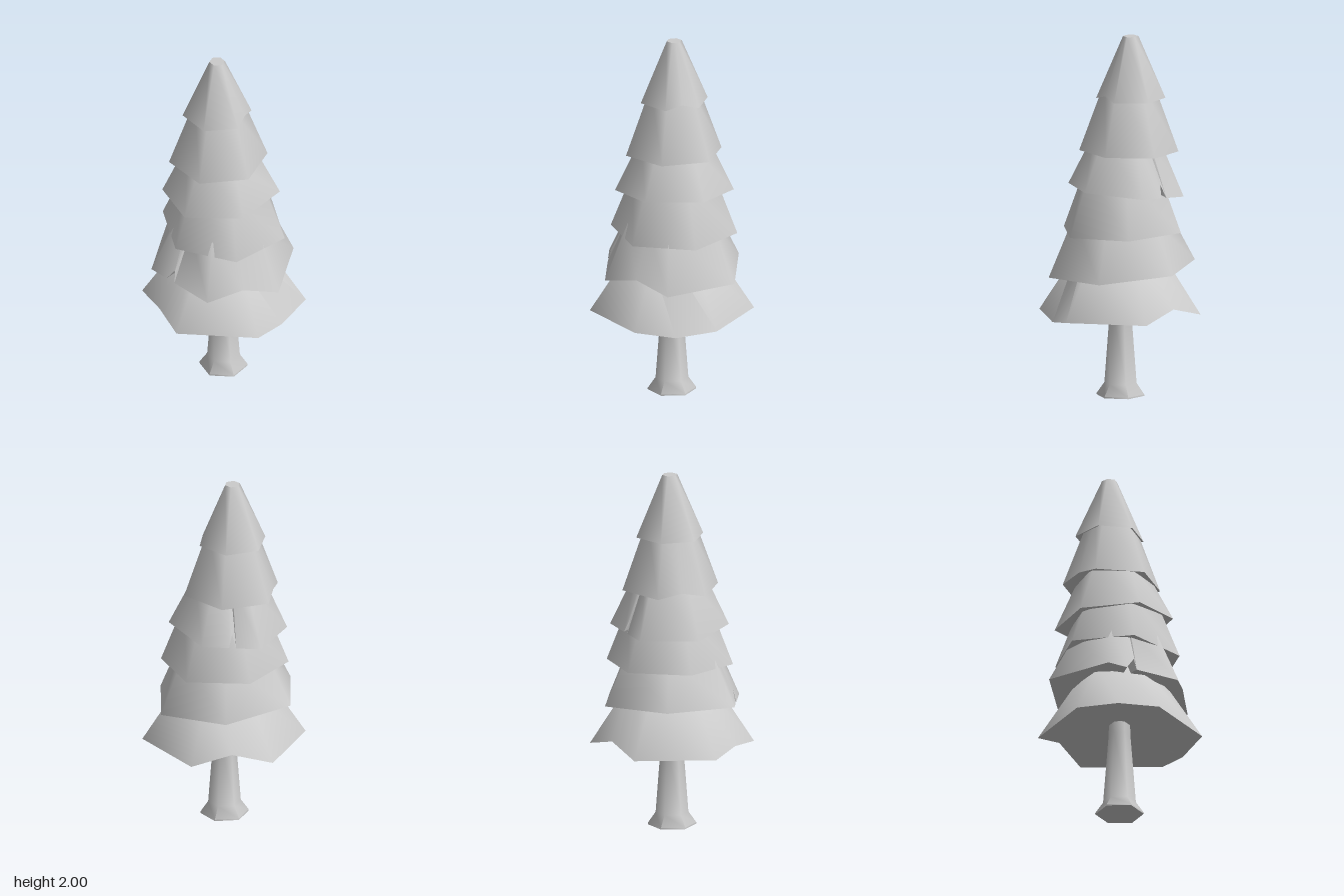
import * as THREE from 'three';
import { toCreasedNormals } from 'three/addons/utils/BufferGeometryUtils.js';

const CREASE = 1.1;
const material = new THREE.MeshStandardMaterial({ color: 0xcccccc });

// Skins a stack of equal-length closed rings; the first and last are single points.
function loft(rings) {
  const n = rings[0].length;
  const index = [];
  for (let i = 0; i < rings.length - 1; i++) {
    for (let j = 0; j < n; j++) {
      const a = i * n + j, b = i * n + ((j + 1) % n);
      const c = b + n, d = a + n;
      if (i > 0) index.push(a, b, d);
      if (i < rings.length - 2) index.push(b, c, d);
    }
  }
  const geometry = new THREE.BufferGeometry();
  geometry.setAttribute('position', new THREE.Float32BufferAttribute(rings.flat(2), 3));
  geometry.setIndex(index);
  return toCreasedNormals(geometry, CREASE);
}

// Six-sided skirt: the hem is a hexagon of radius r turned by `turn` degrees from +z,
// at height y and tilted along x. Each dent is [place along the hem in sides, lift, inward pull].
function makeTier({ name, centre: [cx, cz], r, turn, y, tilt, top, scale, dents }) {
  const corner = (k) => {
    const angle = THREE.MathUtils.degToRad(turn + 60 * k);
    return new THREE.Vector2(r * Math.sin(angle), r * Math.cos(angle));
  };
  const corners = [0, 1, 2, 3, 4, 5].map((k) => [k, 0, 0]);
  const hem = [...corners, ...dents].sort((p, q) => p[0] - q[0]).map(([place, lift, pull]) => {
    const k = Math.floor(place);
    const p = corner(k).lerp(corner(k + 1), place - k).multiplyScalar(1 - pull);
    return [p.x, y + tilt * (cx + p.x) + lift, p.y];
  });
  const ring = (s, height) => hem.map(([x, h, z]) => [cx + x * s, height(h), cz + z * s]);

  const mesh = new THREE.Mesh(loft([
    ring(0, () => y + 0.08),     // hollow underside
    ring(0.8, (h) => h + 0.02),  // inner lip
    ring(1, (h) => h),           // hem
    ring(scale, () => top),      // top rim
    ring(0, () => top),
  ]), material);
  mesh.name = name;
  return mesh;
}

const tiers = [
  { name: 'branchTier1', centre: [0.01, 0], r: 0.45, turn: 0, y: 0.465, tilt: 0,
    top: 0.8, scale: 0.52, dents: [[1.5, -0.035, 0], [3.5, 0.06, 0], [5.5, 0.025, 0]] },
  { name: 'branchTier2', centre: [0, 0], r: 0.41, turn: 23.7, y: 0.705, tilt: -0.085,
    top: 1, scale: 0.66, dents: [[0.5, 0.05, 0], [5.27, 0, 0], [5.38, 0.07, 0.05], [5.41, 0, 0]] },
  { name: 'branchTier3', centre: [0, -0.012], r: 0.352, turn: 46.7, y: 0.925, tilt: -0.03,
    top: 1.25, scale: 0.64, dents: [] },
  { name: 'branchTier4', centre: [-0.02, -0.015], r: 0.325, turn: -2.6, y: 1.147, tilt: 0.087,
    top: 1.45, scale: 0.56, dents: [[3.46, 0, 0], [3.52, 0.07, 0.1], [3.58, 0, 0]] },
  { name: 'branchTier5', centre: [-0.037, -0.012], r: 0.272, turn: 13, y: 1.362, tilt: 0.02,
    top: 1.75, scale: 0.48, dents: [[4.5, 0.025, 0]] },
  { name: 'branchTier6', centre: [-0.047, -0.015], r: 0.19, turn: 12.5, y: 1.655, tilt: 0,
    top: 2, scale: 0.225, dents: [[1.5, 0.025, 0]] },
];

export function createModel() {
  const group = new THREE.Group();
  group.name = 'tree';

  // Six-sided trunk with a flared foot
  const profile = [[0, 0], [0.133, 0], [0.133, 0.008], [0.09, 0.07], [0.06, 0.47], [0.055, 0.65]]
    .map(([r, y]) => new THREE.Vector2(r, y));
  const trunk = new THREE.Mesh(toCreasedNormals(new THREE.LatheGeometry(profile, 6), CREASE), material);
  trunk.name = 'trunk';
  trunk.position.x = 0.007;
  group.add(trunk);

  // Overlapping skirts of foliage
  for (const tier of tiers) group.add(makeTier(tier));
  return group;
}
